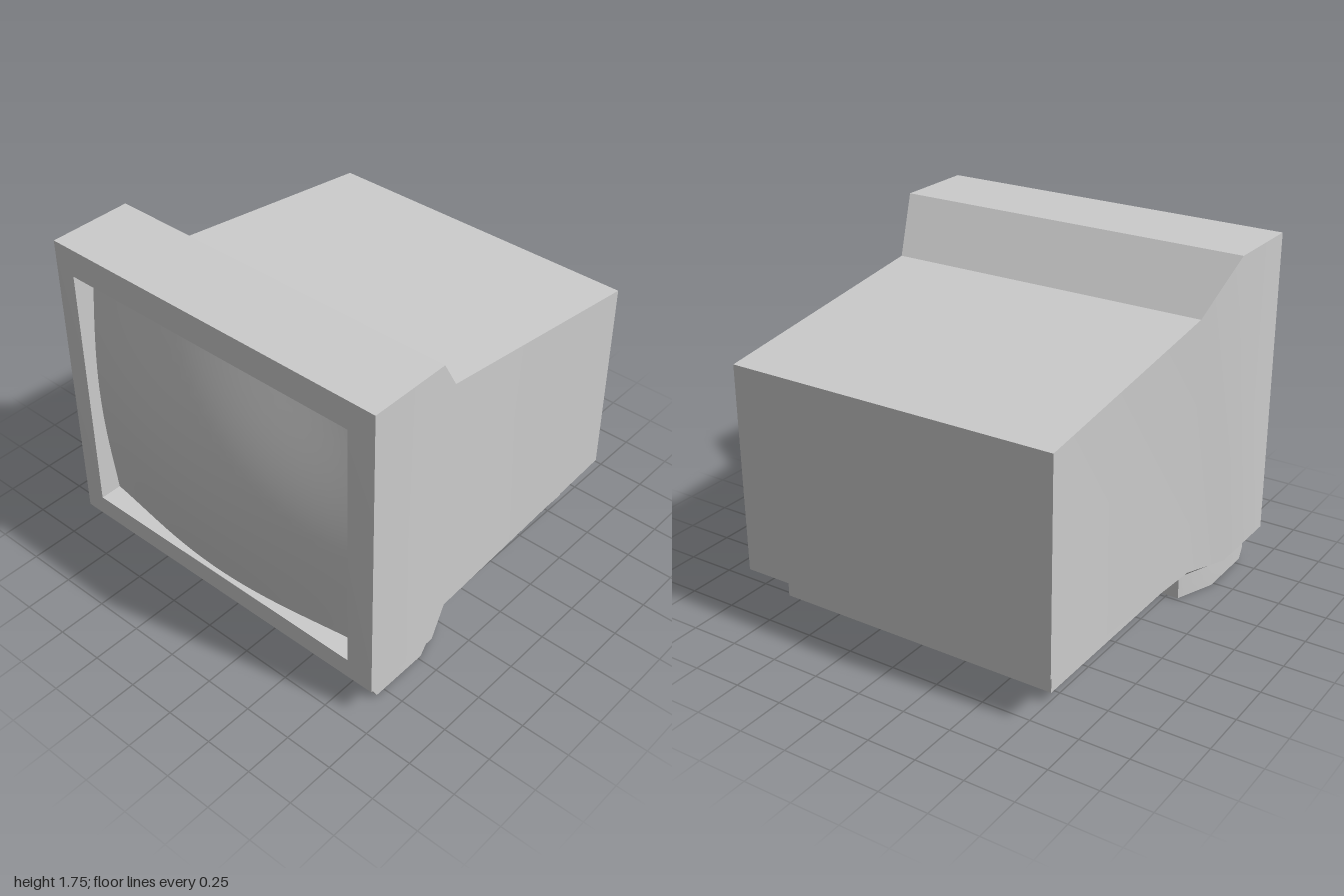
import * as THREE from 'three';
import { toCreasedNormals } from 'three/addons/utils/BufferGeometryUtils.js';

const material = new THREE.MeshStandardMaterial({ color: 0xcccccc, side: THREE.DoubleSide });

// Mesh from corner quads [a, b, c, d], counter-clockwise from outside
function quadMesh(name, quads, crease = 0.5) {
  const pos = [];
  const tri = (a, b, c) => {
    const [A, B, C] = [a, b, c].map((p) => new THREE.Vector3(...p));
    if (B.sub(A).cross(C.sub(A)).length() > 1e-6) pos.push(...a, ...b, ...c);
  };
  for (const [a, b, c, d] of quads) {
    tri(a, b, c);
    tri(a, c, d);
  }
  const geo = new THREE.BufferGeometry();
  geo.setAttribute('position', new THREE.Float32BufferAttribute(pos, 3));
  const mesh = new THREE.Mesh(toCreasedNormals(geo, crease), material);
  mesh.name = name;
  return mesh;
}

const mirror = ([x, y, z]) => [-x, y, z];

// Half outlines (left side, front to rear), stacked from top to bottom
const top = [[0.95, 1.75, 0.91], [0.95, 1.75, 0.48], [0.855, 1.485, 0.27], [0.855, 1.485, 0.27], [0.855, 1.315, -1]];
const lowerEdge = [[0.95, 0.16, 0.91], [0.95, 0.16, 0.48], [0.855, 0.16, 0.27], [0.855, 0.16, 0.27], [0.855, 0.25, -1]];
const footTop = [[0.89, 0.12, 0.83], [0.89, 0.12, 0.48], [0.81, 0.12, 0.27], [0.76, 0.12, 0.27], [0.76, 0.215, -0.84]];
const footMid = [[0.89, 0.055, 0.83], [0.89, 0.055, 0.48], [0.81, 0.055, 0.27], [0.76, 0.055, 0.27], [0.76, 0.055, -0.84]];
const footStep = [[0.89, 0.055, 0.83], [0.89, 0.055, 0.48], [0.81, 0.055, 0.27], [0.67, 0.055, 0.27], [0.67, 0.055, -0.73]];
const footRim = [[0.89, 0, 0.8], [0.89, 0, 0.48], [0.81, 0, 0.27], [0.67, 0, 0.27], [0.67, 0, -0.73]];

// Walls between stacked outlines; the front side is optional
function walls(outlines, closedFront) {
  const quads = [];
  const loops = outlines.map((half) => [...half, ...half.map(mirror).reverse()]);
  for (let k = 0; k < loops.length - 1; k++) {
    const [up, low] = [loops[k], loops[k + 1]];
    const n = up.length;
    for (let i = 0; i < (closedFront ? n : n - 1); i++) {
      const j = (i + 1) % n;
      quads.push([up[i], low[i], low[j], up[j]]);
    }
  }
  return quads;
}

// Screen opening and bulge
const W = 0.82, H = 0.665, CY = 0.955, FRONT = 0.925, SEG = 24;
const screenZ = (x, y) => {
  const r2 = x * x + y * y;
  return 1 - 0.266 * r2 + 0.0856 * r2 * r2;
};

export function createModel() {
  const group = new THREE.Group();

  // Housing: side and back walls plus stepped roof
  const housing = walls([top, lowerEdge], false);
  for (let i = 0; i < top.length - 1; i++) {
    housing.push([mirror(top[i]), top[i], top[i + 1], mirror(top[i + 1])]);
  }
  group.add(quadMesh('housing', housing));

  // Bevelled underside and hollow, open-bottomed base
  group.add(quadMesh('undersideBevel', walls([lowerEdge, footTop], true)));
  group.add(quadMesh('base', walls([footTop, footMid, footStep, footRim], true)));

  // Front frame and the recessed ledge around the screen
  const signs = [[-1, -1], [1, -1], [1, 1], [-1, 1]];
  const outer = signs.map(([sx, sy]) => [sx * 0.95, CY + sy * 0.795, 0.91]);
  const inner = signs.map(([sx, sy]) => [sx * W, CY + sy * H, FRONT]);
  const frame = [], ledge = [];
  for (let i = 0; i < 4; i++) {
    const j = (i + 1) % 4;
    frame.push([outer[i], outer[j], inner[j], inner[i]]);
    const along = (t) => inner[i].map((v, k) => v + (inner[j][k] - v) * t);
    const sunk = ([x, y]) => [x, y, screenZ(x, y - CY)];
    for (let s = 0; s < SEG; s++) {
      const p = along(s / SEG), q = along((s + 1) / SEG);
      ledge.push([p, q, sunk(q), sunk(p)]);
    }
  }
  group.add(quadMesh('frontFrame', frame));
  group.add(quadMesh('screenLedge', ledge));

  // Bulging picture tube face
  const geo = new THREE.PlaneGeometry(2 * W, 2 * H, SEG, SEG);
  const pos = geo.attributes.position;
  for (let i = 0; i < pos.count; i++) pos.setZ(i, screenZ(pos.getX(i), pos.getY(i)));
  geo.computeVertexNormals();
  const screen = new THREE.Mesh(geo, material);
  screen.name = 'screen';
  screen.position.y = CY;
  group.add(screen);

  return group;
}
